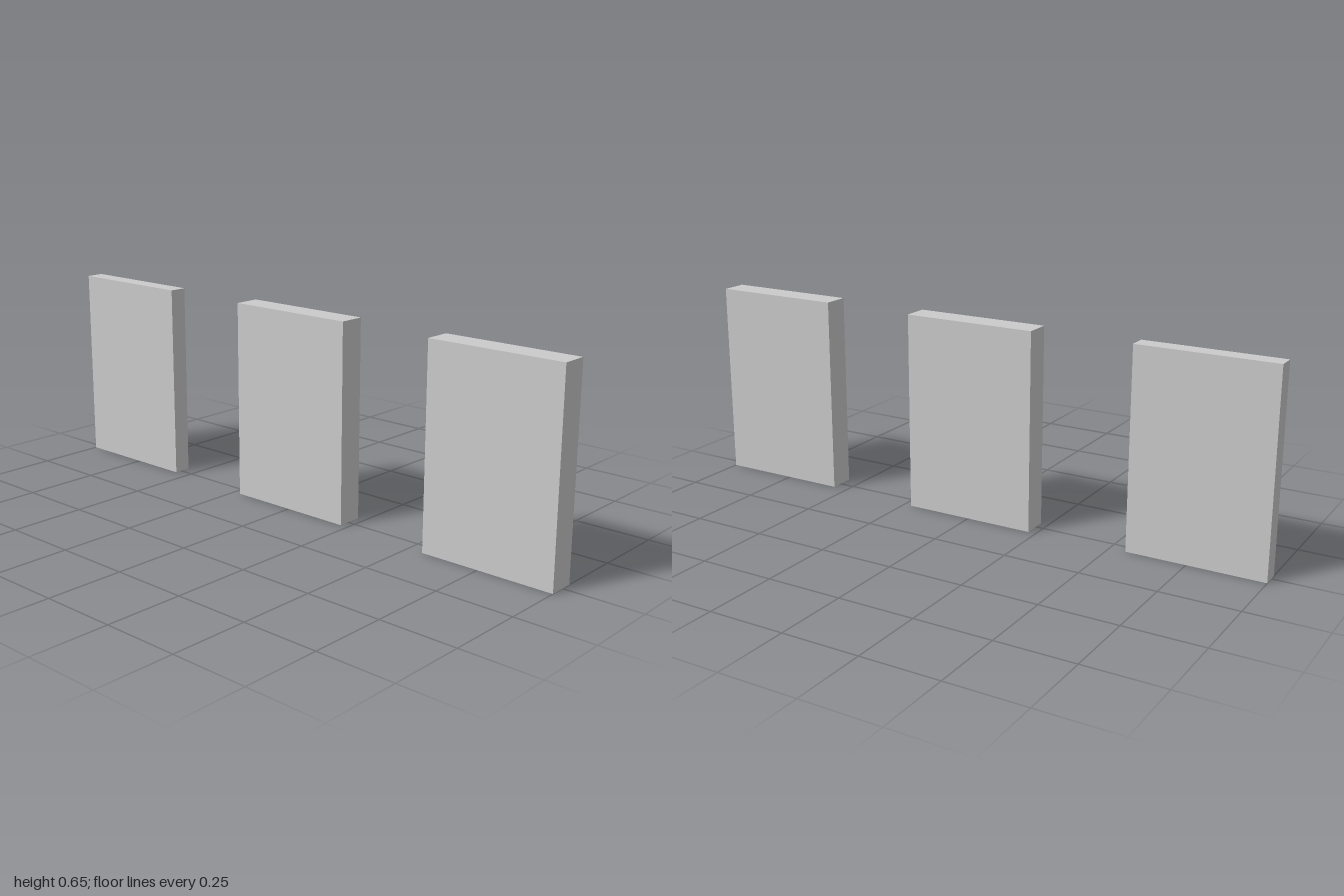
import * as THREE from 'three';

const WIDTH = 0.447;
const HEIGHT = 0.653;

// Three upright slabs in a row: centre x, back z, front z
const PANELS = [
  ['rightPanel', -0.7765, -0.036, 0.023],
  ['middlePanel', 0, -0.05, 0.035],
  ['leftPanel', 0.7765, -0.036, 0.05],
];

export function createModel() {
  const group = new THREE.Group();
  group.name = 'panelRow';
  const material = new THREE.MeshStandardMaterial({ color: 0xcccccc });

  for (const [name, x, back, front] of PANELS) {
    const panel = new THREE.Mesh(new THREE.BoxGeometry(WIDTH, HEIGHT, front - back), material);
    panel.name = name;
    panel.position.set(x, HEIGHT / 2, (front + back) / 2);
    group.add(panel);
  }
  return group;
}
